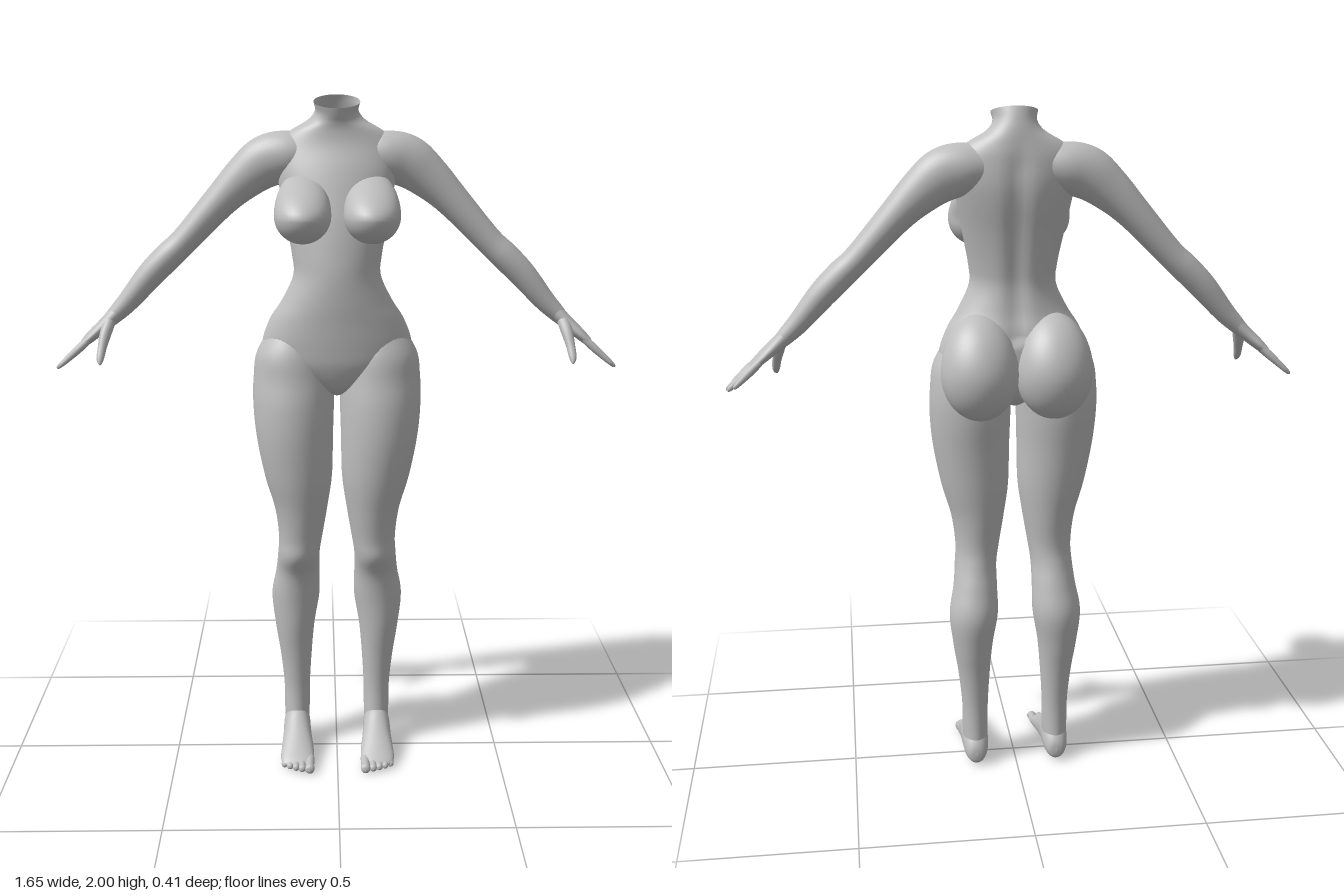
import * as THREE from 'three';

const skin = new THREE.MeshStandardMaterial({ color: 0xbfbfbf });
skin.name = 'plain grey';
const neckSkin = skin.clone();
neckSkin.name = 'plain grey open shell';
neckSkin.side = THREE.DoubleSide;

const X = new THREE.Vector3(1, 0, 0);
const Y = new THREE.Vector3(0, 1, 0);
const Z = new THREE.Vector3(0, 0, 1);

// Catmull-Rom value of column k at span i, fraction t
function spline(rows, i, t, k) {
  const at = j => rows[Math.min(Math.max(j, 0), rows.length - 1)][k];
  const [a, b, c, d] = [at(i - 1), at(i), at(i + 1), at(i + 2)];
  return b + 0.5 * t * (c - a + t * (2 * a - 5 * b + 4 * c - d + t * (3 * (b - c) + d - a)));
}

// Smooth skin over elliptical sections [x, y, z, radius along U, radius along V].
// W fixes the section normal; without it the sections follow the path.
function loft(name, sections, U, W = null, { steps = 5, sides = 32, deform = null, material = skin } = {}) {
  const rings = [];
  for (let i = 0; i < sections.length - 1; i++) {
    for (let s = 0; s < steps; s++) rings.push([0, 1, 2, 3, 4].map(k => spline(sections, i, s / steps, k)));
  }
  rings.push(sections[sections.length - 1]);
  const centre = r => new THREE.Vector3(r[0], r[1], r[2]);
  const positions = [], index = [];
  rings.forEach((r, i) => {
    const w = W || centre(rings[Math.min(i + 1, rings.length - 1)]).sub(centre(rings[Math.max(i - 1, 0)])).normalize();
    const V = w.clone().cross(U).normalize();
    const u = V.clone().cross(w).normalize();
    for (let j = 0; j < sides; j++) {
      const a = (j / sides) * Math.PI * 2;
      const p = centre(r)
        .addScaledVector(u, Math.cos(a) * Math.max(r[3], 0.0005))
        .addScaledVector(V, Math.sin(a) * Math.max(r[4], 0.0005));
      if (deform) deform(p);
      positions.push(p.x, p.y, p.z);
      if (i === rings.length - 1) continue;
      const n = (j + 1) % sides, b = i * sides, t = b + sides;
      index.push(b + j, b + n, t + n, b + j, t + n, t + j);
    }
  });
  const g = new THREE.BufferGeometry();
  g.setAttribute('position', new THREE.Float32BufferAttribute(positions, 3));
  g.setIndex(index);
  g.computeVertexNormals();
  const mesh = new THREE.Mesh(g, material);
  mesh.name = name;
  return mesh;
}

// Rounded form: an ellipsoid whose upper half is stretched and eased back by 'ease'
function roundForm(name, position, radii, stretch, ease) {
  const g = new THREE.SphereGeometry(1, 40, 28);
  const p = g.attributes.position;
  for (let i = 0; i < p.count; i++) {
    const y = p.getY(i), up = Math.max(y, 0);
    p.setXYZ(i, p.getX(i) * radii[0], y * radii[1] * (y > 0 ? stretch : 1), p.getZ(i) * radii[2] + ease * up ** 1.5);
  }
  g.computeVertexNormals();
  const mesh = new THREE.Mesh(g, skin);
  mesh.name = name;
  mesh.position.set(...position);
  return mesh;
}

// Section from height, centre x, half width, front z and back z
const slab = ([y, x, rx, front, back]) => [x, y, (front + back) / 2, rx, (front - back) / 2];

function torso() {
  const rows = [
    [1.15, 0, 0.02, 0.04, -0.05], [1.18, 0, 0.09, 0.08, -0.09], [1.24, 0, 0.2, 0.105, -0.115],
    [1.3, 0, 0.218, 0.113, -0.122], [1.37, 0, 0.195, 0.118, -0.115], [1.43, 0, 0.158, 0.122, -0.098],
    [1.5, 0, 0.126, 0.122, -0.088], [1.56, 0, 0.129, 0.116, -0.092], [1.65, 0, 0.146, 0.1, -0.105],
    [1.74, 0, 0.163, 0.075, -0.122], [1.8, 0, 0.172, 0.055, -0.127], [1.86, 0, 0.168, 0.03, -0.122],
    [1.9, 0, 0.135, 0.022, -0.115], [1.93, 0, 0.082, 0.024, -0.108], [1.955, 0, 0.062, 0.03, -0.098],
    [1.983, 0, 0.066, 0.037, -0.085],
  ];
  return loft('torso', rows.map(slab), X, Y, {
    sides: 56, material: neckSkin,
    deform(p) {
      // spine groove
      if (p.z < -0.04 && p.y > 1.35) {
        p.z += 0.013 * Math.exp(-((p.x / 0.028) ** 2)) * THREE.MathUtils.smoothstep(1.93 - p.y, 0, 0.12);
      }
      // sloping neck opening
      p.y -= (p.z + 0.024) * 0.287 * THREE.MathUtils.smoothstep(p.y, 1.9, 1.98);
    },
  });
}

function leg(s) {
  const rows = [
    [1.37, 0.115, 0.06, 0.06, -0.06], [1.28, 0.128, 0.104, 0.099, -0.1], [1.2, 0.127, 0.118, 0.112, -0.12],
    [1.12, 0.128, 0.119, 0.126, -0.121], [1.02, 0.125, 0.113, 0.13, -0.11], [0.9, 0.115, 0.1, 0.12, -0.098],
    [0.8, 0.108, 0.079, 0.102, -0.085], [0.71, 0.11, 0.066, 0.086, -0.076], [0.65, 0.116, 0.063, 0.08, -0.085],
    [0.585, 0.12, 0.066, 0.045, -0.105], [0.5, 0.127, 0.073, 0.03, -0.126], [0.4, 0.13, 0.06, 0.022, -0.113],
    [0.3, 0.127, 0.048, 0.011, -0.095], [0.2, 0.125, 0.04, 0.005, -0.085], [0.12, 0.125, 0.039, 0.01, -0.085],
    [0.05, 0.125, 0.036, 0.02, -0.09],
  ];
  return loft('leg', rows.map(slab).map(r => [r[0] * s, ...r.slice(1)]), X, Y.clone().negate(), { sides: 40 });
}

function foot(s) {
  const group = new THREE.Group();
  group.name = 'foot';
  // rows: z, centre x, half width, top, bottom
  const rows = [
    [-0.101, 0.125, 0, 0.045, 0.04], [-0.096, 0.125, 0.022, 0.07, 0.015], [-0.075, 0.125, 0.035, 0.1, 0.006],
    [-0.04, 0.125, 0.04, 0.125, 0.004], [0, 0.125, 0.042, 0.128, 0.005], [0.04, 0.124, 0.044, 0.105, 0.007],
    [0.09, 0.123, 0.049, 0.075, 0.006], [0.13, 0.123, 0.051, 0.05, 0.004], [0.155, 0.121, 0.046, 0.034, 0.006],
    [0.166, 0.12, 0.03, 0.024, 0.012],
  ];
  group.add(loft('sole', rows.map(([z, x, rx, t, b]) => [x * s, (t + b) / 2, z, rx, (t - b) / 2]), X, Z));
  // toes, big toe on the inside
  [[0.085, 0.195, 0.0145], [0.108, 0.19, 0.011], [0.127, 0.183, 0.0105], [0.145, 0.174, 0.01], [0.162, 0.162, 0.01]]
    .forEach(([x, tip, r]) => group.add(loft('toe', [
      [x * s, 0.024, tip - 0.06, r, r], [x * s, 0.02, tip - 0.025, r * 0.9, r * 0.9],
      [x * s, 0.016, tip - 0.01, r, r], [x * s, 0.015, tip - 0.003, r * 0.7, r * 0.7], [x * s, 0.014, tip, 0, 0],
    ], X, Z, { sides: 14 })));
  return group;
}

function arm(s) {
  const rows = [
    [0.04, 1.835, -0.05, 0.05, 0.05], [0.13, 1.832, -0.05, 0.068, 0.07], [0.2, 1.816, -0.053, 0.064, 0.074],
    [0.265, 1.77, -0.055, 0.057, 0.062], [0.335, 1.704, -0.056, 0.052, 0.049], [0.44, 1.592, -0.055, 0.047, 0.04],
    [0.49, 1.545, -0.053, 0.048, 0.041], [0.545, 1.49, -0.052, 0.044, 0.039], [0.61, 1.415, -0.05, 0.034, 0.031],
    [0.65, 1.375, -0.049, 0.029, 0.025], [0.67, 1.355, -0.048, 0.028, 0.02],
  ];
  return loft('arm', rows.map(r => [r[0] * s, ...r.slice(1)]), Z);
}

function hand(s) {
  const group = new THREE.Group();
  group.name = 'hand';
  const add = (name, rows, sides) =>
    group.add(loft(name, rows.map(r => [r[0] * s, ...r.slice(1)]), Z, null, { sides }));
  add('palm', [
    [0.64, 1.385, -0.049, 0.028, 0.024], [0.68, 1.348, -0.045, 0.036, 0.02], [0.715, 1.318, -0.043, 0.046, 0.017],
    [0.74, 1.296, -0.043, 0.046, 0.013], [0.752, 1.285, -0.043, 0.036, 0.006], [0.755, 1.282, -0.043, 0, 0],
  ], 28);
  // fingers: base z, tip x, tip y, tip z
  [[-0.079, 0.8, 1.237, -0.093], [-0.055, 0.82, 1.222, -0.06], [-0.031, 0.826, 1.218, -0.027], [-0.008, 0.812, 1.23, 0.004]]
    .forEach(([z, tx, ty, tz]) => {
      const at = (t, r) => [0.725 + (tx - 0.725) * t, 1.307 + (ty - 1.307) * t, z + (tz - z) * t, r, r];
      add('finger', [at(0, 0.011), at(0.35, 0.0115), at(0.65, 0.0095), at(0.9, 0.007), at(0.98, 0.004), at(1, 0)], 14);
    });
  add('thumb', [
    [0.662, 1.365, -0.035, 0.017, 0.017], [0.674, 1.328, -0.006, 0.019, 0.017], [0.682, 1.29, 0.021, 0.013, 0.013],
    [0.686, 1.262, 0.04, 0.01, 0.011], [0.686, 1.248, 0.05, 0.005, 0.005], [0.686, 1.244, 0.053, 0, 0],
  ], 16);
  return group;
}

export function createModel() {
  const model = new THREE.Group();
  model.name = 'mannequin';
  model.add(torso());
  for (const [side, s] of [['left', 1], ['right', -1]]) {
    const half = new THREE.Group();
    half.name = `${side} side`;
    half.add(
      leg(s), foot(s), arm(s), hand(s),
      roundForm('bust', [0.097 * s, 1.677, 0.1], [0.08, 0.078, 0.104], 1.5, -0.13),
      roundForm('seat', [0.107 * s, 1.26, -0.095], [0.112, 0.138, 0.11], 1.2, 0.03),
    );
    model.add(half);
  }
  return model;
}
